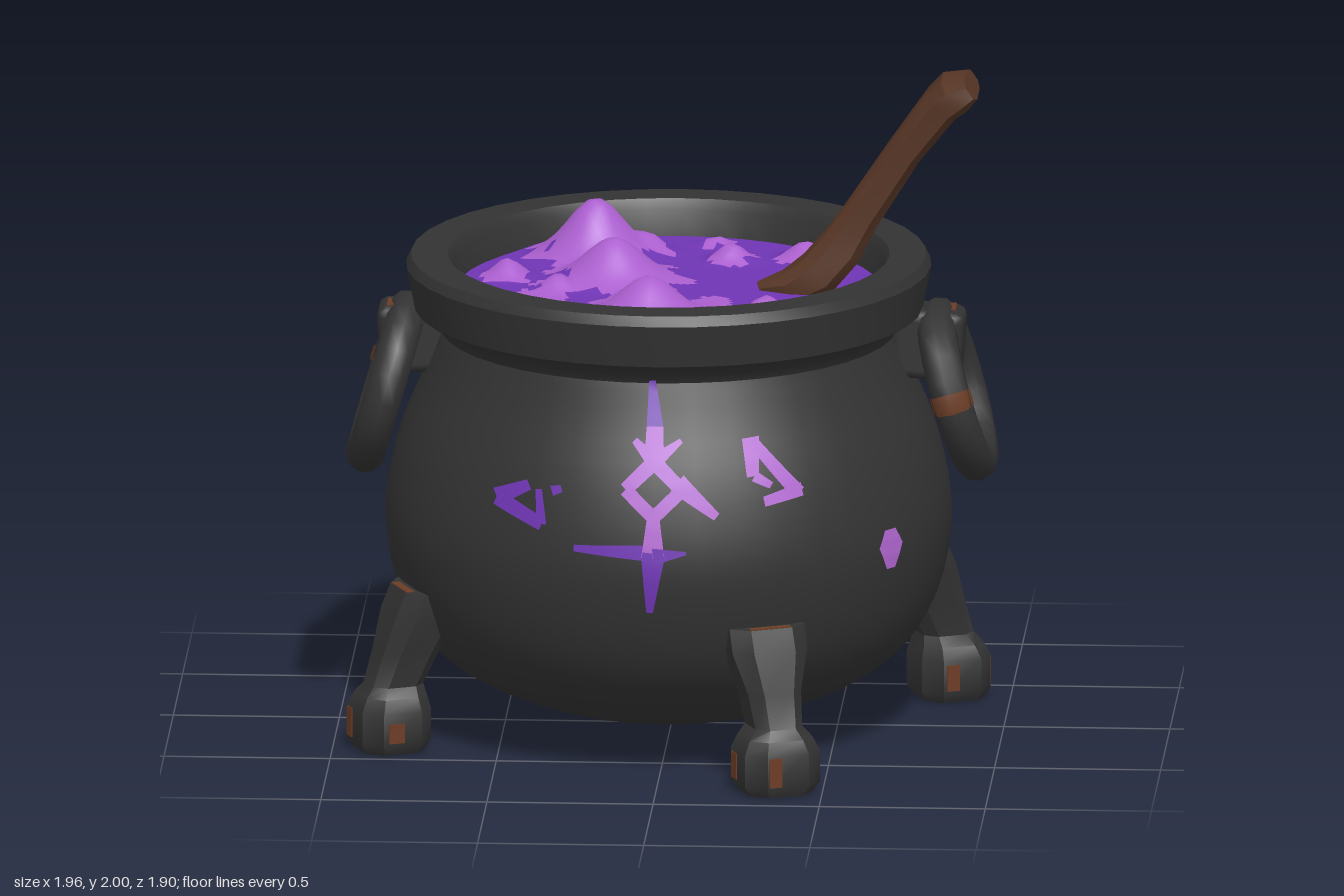
import * as THREE from 'three';
import { toCreasedNormals } from 'three/addons/utils/BufferGeometryUtils.js';
import { RoundedBoxGeometry } from 'three/addons/geometries/RoundedBoxGeometry.js';

const material = (name, color, side = THREE.FrontSide) => {
  const m = new THREE.MeshStandardMaterial({ color, side });
  m.name = name;
  return m;
};

// Pot outline [radius, height]: curved belly, then the flared rim
const belly = new THREE.SplineCurve([
  [0.001, 0.03], [0.2, 0.05], [0.4, 0.09], [0.6, 0.175], [0.73, 0.28], [0.81, 0.42],
  [0.85, 0.6], [0.845, 0.75], [0.8, 0.93], [0.73, 1.1], [0.685, 1.22],
].map(([r, y]) => new THREE.Vector2(r, y))).getPoints(30);
const rim = [[0.70, 1.25], [0.765, 1.29], [0.79, 1.42], [0.775, 1.45], [0.665, 1.45], [0.645, 1.42], [0.63, 1.28]]
  .map(([r, y]) => new THREE.Vector2(r, y));

function bellyRadius(y) {
  for (let i = 1; i < belly.length; i++) {
    const a = belly[i - 1], b = belly[i];
    if (y <= b.y) return a.x + (b.x - a.x) * (y - a.y) / (b.y - a.y);
  }
  return belly[belly.length - 1].x;
}

function buffer(positions, index) {
  const g = new THREE.BufferGeometry();
  g.setAttribute('position', new THREE.Float32BufferAttribute(positions, 3));
  g.setIndex(index);
  g.computeVertexNormals();
  return g;
}

// Joins chamfered-square sections {c, u, v}; u x v points along the path
function loft(sections) {
  const ring = [[1, 0.55], [0.55, 1], [-0.55, 1], [-1, 0.55], [-1, -0.55], [-0.55, -1], [0.55, -1], [1, -0.55]];
  const pos = [], idx = [], n = ring.length;
  for (const { c, u, v } of sections)
    for (const [a, b] of ring) pos.push(...c.clone().addScaledVector(u, a).addScaledVector(v, b).toArray());
  const end = (sections.length - 1) * n;
  for (let s = 0; s < end; s += n)
    for (let j = 0; j < n; j++) {
      const k = (j + 1) % n;
      idx.push(s + j, s + k, s + n + k, s + j, s + n + k, s + n + j);
    }
  for (let j = 1; j < n - 1; j++) idx.push(0, j + 1, j, end, end + j, end + j + 1);
  return toCreasedNormals(buffer(pos, idx), 0.6);
}

// Point of the belly surface under the front-view position (x, y)
function onBelly(x, y) {
  const r = bellyRadius(y);
  return [x, y, Math.sqrt(Math.max(r * r - x * x, 0)) + 0.007];
}

// Tapered painted stroke that follows the belly
function stroke([x0, y0, x1, y1, w0, w1]) {
  const pos = [], idx = [], steps = 8, len = Math.hypot(x1 - x0, y1 - y0);
  const nx = -(y1 - y0) / len, ny = (x1 - x0) / len;
  for (let i = 0; i <= steps; i++) {
    const t = i / steps, x = x0 + (x1 - x0) * t, y = y0 + (y1 - y0) * t;
    for (const s of [-1, 0, 1]) {
      const w = s * (w0 + (w1 - w0) * t) / 2;
      pos.push(...onBelly(x + nx * w, y + ny * w));
    }
    if (i < steps) for (const s of [0, 1]) {
      const a = i * 3 + s;
      idx.push(a, a + 3, a + 4, a, a + 4, a + 1);
    }
  }
  return buffer(pos, idx);
}

// Bubbling surface: polar grid raised at the bubbles, pale foam around them
function brewGeometry() {
  const bubbles = [ // x, z, radius, height
    [-0.24, -0.38, 0.14, 0.18], [-0.09, -0.42, 0.07, 0.07], [-0.17, -0.1, 0.14, 0.13], [-0.33, 0.03, 0.06, 0.05],
    [-0.49, -0.12, 0.06, 0.06], [0.17, -0.34, 0.06, 0.06], [0.39, -0.38, 0.06, 0.06], [-0.04, 0.36, 0.14, 0.13],
    [-0.11, 0.24, 0.08, 0.06], [-0.43, 0.27, 0.06, 0.05], [0.31, 0.3, 0.07, 0.06], [0.11, -0.54, 0.04, 0.03],
  ];
  const foam = [[-0.26, -0.24, 0.11], [-0.33, -0.53, 0.07], [-0.04, -0.08, 0.09], [0.13, 0.21, 0.1], [-0.38, 0.12, 0.08],
    [0.44, 0.26, 0.06], [0.08, 0.46, 0.07], [0.21, 0.34, 0.05], [-0.1, 0.47, 0.07]];
  const rings = 32, seg = 84, pos = [], dark = [], pale = [];
  for (let i = 0; i <= rings; i++)
    for (let j = 0; j < seg; j++) {
      const r = 0.645 * Math.max(i, 0.01) / rings, a = j / seg * Math.PI * 2, x = r * Math.cos(a), z = r * Math.sin(a);
      let y = 0;
      for (const [bx, bz, br, h] of bubbles) {
        const d = Math.hypot(x - bx, z - bz) / br;
        y = Math.max(y, h * Math.exp(-d * d * 1.3));
      }
      pos.push(x, 1.34 + y, z);
    }
  const isFoam = (x, z) => {
    const wobble = 1 + 0.18 * Math.sin(x * 41 + z * 17) + 0.16 * Math.sin(z * 47 - x * 23);
    return bubbles.some(([bx, bz, br]) => Math.hypot(x - bx, z - bz) < 1.3 * br * wobble)
      || foam.some(([fx, fz, fr]) => Math.hypot(x - fx, z - fz) < fr * wobble);
  };
  for (let i = 0; i < rings; i++)
    for (let j = 0; j < seg; j++) {
      const k = (j + 1) % seg, a = i * seg + j, b = i * seg + k, c = b + seg, d = a + seg;
      const x = (pos[a * 3] + pos[c * 3]) / 2, z = (pos[a * 3 + 2] + pos[c * 3 + 2]) / 2;
      (isFoam(x, z) ? pale : dark).push(a, b, c, a, c, d);
    }
  const g = buffer(pos, [...dark, ...pale]);
  g.addGroup(0, dark.length, 0);
  g.addGroup(dark.length, pale.length, 1);
  return g;
}

export function createModel() {
  const iron = material('cast iron', 0x333333);
  const rust = material('rust', 0x6b3c24);
  const wood = material('dark wood', 0x573626);
  const violet = material('deep violet', 0x6f35b4);
  const lilac = material('lilac', 0xab5fcf);
  const violetPaint = material('violet paint', 0x6f35b4, THREE.DoubleSide);
  const lilacPaint = material('lilac paint', 0xb267d2, THREE.DoubleSide);

  const model = new THREE.Group();
  const pot = new THREE.Group();
  pot.name = 'pot';
  pot.position.set(-0.01, 0, -0.02);
  model.add(pot);
  const add = (parent, name, geometry, mat, x = 0, y = 0, z = 0) => {
    const mesh = new THREE.Mesh(geometry, mat);
    mesh.name = name;
    mesh.position.set(x, y, z);
    parent.add(mesh);
    return mesh;
  };

  add(pot, 'cauldronBody', toCreasedNormals(new THREE.LatheGeometry([...belly, ...rim], 40), 0.6), iron);
  add(pot, 'brew', brewGeometry(), [violet, lilac]);

  // Four splayed legs with block feet and worn patches
  const legSections = [ // y, outward, half width, half depth
    [0.49, 0.78, 0.12, 0.09], [0.42, 0.8, 0.12, 0.1], [0.3, 0.845, 0.085, 0.09], [0.2, 0.885, 0.075, 0.08],
    [0.17, 0.895, 0.1, 0.095], [0.13, 0.9, 0.12, 0.11], [0.03, 0.9, 0.12, 0.11], [0, 0.9, 0.1, 0.095],
  ].map(([y, z, w, d]) => ({ c: new THREE.Vector3(0, y, z), u: new THREE.Vector3(w, 0, 0), v: new THREE.Vector3(0, 0, d) }));
  const legGeometry = loft(legSections);
  for (let i = 0; i < 4; i++) {
    const leg = new THREE.Group();
    leg.name = 'leg' + (i + 1);
    leg.rotation.y = 0.42 + i * Math.PI / 2;
    pot.add(leg);
    add(leg, 'legAndFoot', legGeometry, iron);
    add(leg, 'rustFootFront', new THREE.BoxGeometry(0.04, 0.09, 0.008), rust, -0.04, 0.08, 1.009);
    add(leg, 'rustFootSide', new THREE.BoxGeometry(0.008, 0.06, 0.05), rust, 0.119, 0.07, 0.92);
    add(leg, 'rustFootBack', new THREE.BoxGeometry(0.008, 0.08, 0.04), rust, -0.119, 0.08, 0.87);
    add(leg, 'rustLegTop', new THREE.BoxGeometry(0.13, 0.008, 0.025), rust, 0, 0.488, 0.855);
  }

  // Ring handles hanging from lugs
  for (const [name, turn] of [['leftHandle', 0], ['rightHandle', Math.PI]]) {
    const handle = new THREE.Group();
    handle.name = name;
    handle.position.x = 0.01;
    handle.rotation.y = turn;
    pot.add(handle);
    const lug = add(handle, 'lug', new RoundedBoxGeometry(0.22, 0.21, 0.18, 1, 0.03), iron, 0.77, 1.19, 0);
    lug.rotation.z = -0.08;
    const ring = add(handle, 'ring', new THREE.TorusGeometry(0.225, 0.06, 10, 20).rotateY(Math.PI / 2), iron, 0.86, 1.04, 0);
    ring.rotation.z = 0.28;
    add(handle, 'rustLug', new THREE.BoxGeometry(0.05, 0.008, 0.08), rust, 0.83, 1.289, -0.02);
    const worn = add(ring, 'rustRing', new THREE.TorusGeometry(0.225, 0.063, 8, 3, 0.22).rotateY(Math.PI / 2), rust);
    worn.rotation.x = 2.95;
  }

  // Painted marks: x, y, x, y, start width, end width
  const centreLilac = [
    [0, 1.1, 0, 1.0, 0.05, 0.06], [0, 1.0, -0.085, 0.92, 0.045, 0.04], [0, 1.0, 0.085, 0.92, 0.045, 0.04],
    [-0.085, 0.92, 0, 0.84, 0.04, 0.04], [0.085, 0.92, 0, 0.84, 0.04, 0.04], [0, 1.0, -0.06, 1.06, 0.045, 0.02],
    [0, 1.0, 0.08, 1.06, 0.045, 0.015], [0.07, 0.94, 0.19, 0.84, 0.06, 0.025], [0, 0.85, 0, 0.72, 0.035, 0.07],
  ];
  const centreViolet = [
    [-0.01, 1.23, 0, 1.1, 0.02, 0.05], [0, 0.72, -0.01, 0.55, 0.07, 0.02],
    [0, 0.735, -0.24, 0.74, 0.05, 0.02], [0, 0.725, 0.1, 0.735, 0.05, 0.01],
  ];
  const frontLilac = [
    [0.285, 1.06, 0.295, 0.95, 0.05, 0.035], [0.29, 1.05, 0.43, 0.89, 0.03, 0.04],
    [0.44, 0.9, 0.33, 0.875, 0.04, 0.03], [0.3, 0.95, 0.35, 0.92, 0.03, 0.02],
  ];
  const frontViolet = [
    [-0.48, 0.86, -0.38, 0.91, 0.05, 0.03], [-0.48, 0.86, -0.34, 0.8, 0.05, 0.04],
    [-0.35, 0.9, -0.34, 0.8, 0.02, 0.03], [-0.31, 0.9, -0.28, 0.91, 0.03, 0.02],
  ];
  const backLilac = [[-0.47, 0.9, -0.36, 1.02, 0.05, 0.04], [-0.36, 1.02, -0.28, 0.98, 0.04, 0.03]];
  const backViolet = [
    [0.28, 0.93, 0.36, 0.87, 0.03, 0.05], [0.36, 0.86, 0.48, 0.84, 0.05, 0.03], [0.4, 0.93, 0.46, 0.88, 0.03, 0.02],
    [-0.08, 0.66, 0.09, 0.63, 0.03, 0.04],
  ];
  for (const [name, turn, pale, deep] of [
    ['frontMarks', 0, [...centreLilac, ...frontLilac], [...centreViolet, ...frontViolet]],
    ['backMarks', Math.PI, [...centreLilac, ...backLilac], [...centreViolet, ...backViolet]],
  ]) {
    const marks = new THREE.Group();
    marks.name = name;
    marks.rotation.y = turn;
    pot.add(marks);
    pale.forEach((s) => add(marks, 'lilacStroke', stroke(s), lilacPaint));
    deep.forEach((s) => add(marks, 'violetStroke', stroke(s), violetPaint));
  }
  // Round splash on the side
  const splash = new THREE.Group();
  splash.name = 'splash';
  splash.rotation.y = 0.95;
  pot.add(splash);
  add(splash, 'splashUpper', stroke([0, 0.68, 0, 0.73, 0.11, 0.05]), lilacPaint);
  add(splash, 'splashLower', stroke([0, 0.68, 0, 0.61, 0.11, 0.04]), lilacPaint);

  // Wooden stirring paddle leaning on the rim
  const paddle = [ // x, y, half thickness, half width, path angle
    [0.27, 1.33, 0.03, 0.03, 0.5], [0.36, 1.345, 0.05, 0.08, 0.6], [0.44, 1.39, 0.065, 0.085, 0.8],
    [0.51, 1.47, 0.065, 0.075, 0.95], [0.57, 1.57, 0.055, 0.075, 1.0], [0.7, 1.77, 0.05, 0.095, 1.0],
    [0.81, 1.915, 0.055, 0.115, 0.9], [0.85, 1.95, 0.058, 0.13, 0.75], [0.9, 1.972, 0.035, 0.12, 0.6],
  ].map(([x, y, t, w, a], i) => ({
    c: new THREE.Vector3(x, y, -0.04 - i * 0.004),
    u: new THREE.Vector3(-Math.sin(a), Math.cos(a), 0).multiplyScalar(t),
    v: new THREE.Vector3(0, 0, w),
  }));
  add(model, 'stirringPaddle', loft(paddle), wood);
  return model;
}
